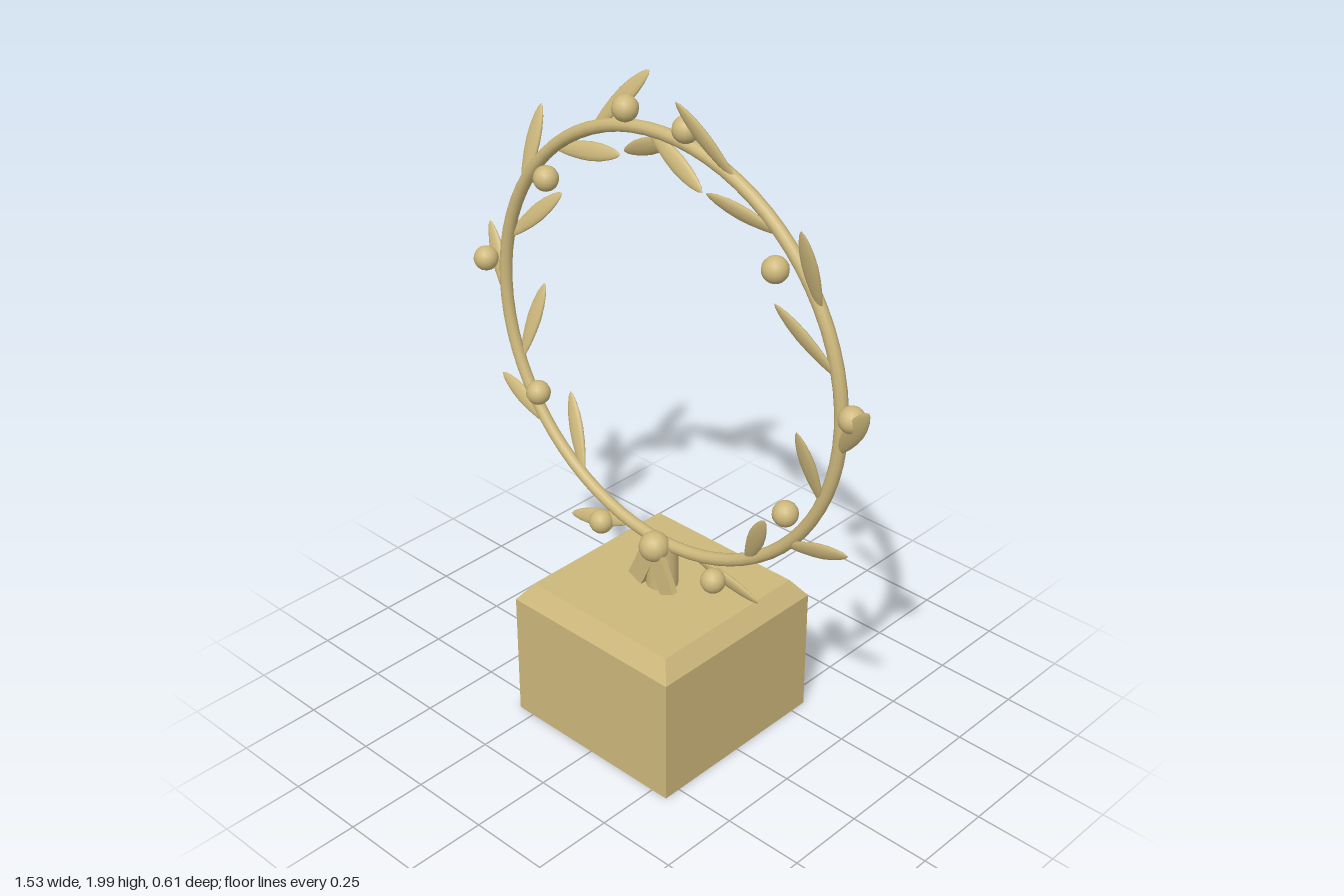
import * as THREE from 'three';

const CENTER_Y = 1.23, RING_R = 0.632;

export function createModel() {
  const gold = new THREE.MeshStandardMaterial({ color: 0xcdb87c });
  gold.name = 'pale gold';
  const model = new THREE.Group();
  model.name = 'wreathTrophy';

  const add = (name, geometry, parent = model, x = 0, y = 0, z = 0) => {
    const mesh = new THREE.Mesh(geometry, gold);
    mesh.name = name;
    mesh.position.set(x, y, z);
    parent.add(mesh);
    return mesh;
  };

  // Square plinth with a bevelled top
  add('plinth', new THREE.BoxGeometry(0.61, 0.4, 0.61), model, 0, 0.2, 0);
  const bevel = new THREE.CylinderGeometry(0.265 * Math.SQRT2, 0.305 * Math.SQRT2, 0.055, 4, 1)
    .rotateY(Math.PI / 4).toNonIndexed();
  bevel.computeVertexNormals();
  add('plinthBevel', bevel, model, 0, 0.4275, 0);

  // Short post, knot and two splayed ribbon tails
  add('post', new THREE.CylinderGeometry(0.048, 0.048, 0.14, 16), model, 0, 0.525, 0);
  add('knot', new THREE.SphereGeometry(0.046, 16, 12), model, 0, 0.596, 0.033);
  for (const side of [1, -1]) {
    const tail = add(side > 0 ? 'leftRibbonTail' : 'rightRibbonTail',
      new THREE.BoxGeometry(0.056, 0.15, 0.02), model, side * 0.033, 0.532, 0.04);
    tail.rotation.z = side * 0.43;
  }

  // Ring stem
  add('ring', new THREE.TorusGeometry(RING_R, 0.019, 10, 72), model, 0, CENTER_Y, 0);

  // Leaf: flattened pointed spindle growing along +x from its base
  const profile = [[0, 0], [0.011, 0.02], [0.019, 0.055], [0.025, 0.1], [0.027, 0.14],
    [0.024, 0.18], [0.017, 0.215], [0.009, 0.238], [0, 0.25]]
    .map(([r, l]) => new THREE.Vector2(r, l));
  const leafGeometry = new THREE.LatheGeometry(profile, 12)
    .scale(1, 1, 0.4).rotateZ(-Math.PI / 2);
  const berryGeometry = new THREE.SphereGeometry(0.037, 14, 10);

  // Point on the wreath, measured in degrees up from the bottom
  const rad = THREE.MathUtils.degToRad;
  const onRing = (deg, r) => [Math.sin(rad(deg)) * r, -Math.cos(rad(deg)) * r];

  // Each half is the other one turned about the vertical axis
  for (const side of [1, -1]) {
    const branch = new THREE.Group();
    branch.name = side > 0 ? 'leftBranch' : 'rightBranch';
    branch.position.y = CENTER_Y;
    if (side < 0) branch.rotation.y = Math.PI;
    model.add(branch);

    const addLeaf = (name, deg, turn) => {
      const [x, y] = onRing(deg, RING_R);
      const leaf = add(name, leafGeometry, branch, x, y, 0.003);
      leaf.rotation.set(0.3, 0, rad(deg + turn));
    };

    for (let i = 0; i < 5; i++) {
      addLeaf('outerLeaf', 11 + 36.2 * i, -27);
      addLeaf('innerLeaf', 31 + 36 * i, 31);
      // Berries alternate outside and inside, always on the front
      const [x, y] = onRing(19 + 38 * i, i % 2 ? 0.572 : 0.688);
      add('berry', berryGeometry, branch, x, y, side * 0.027);
    }
  }
  return model;
}
